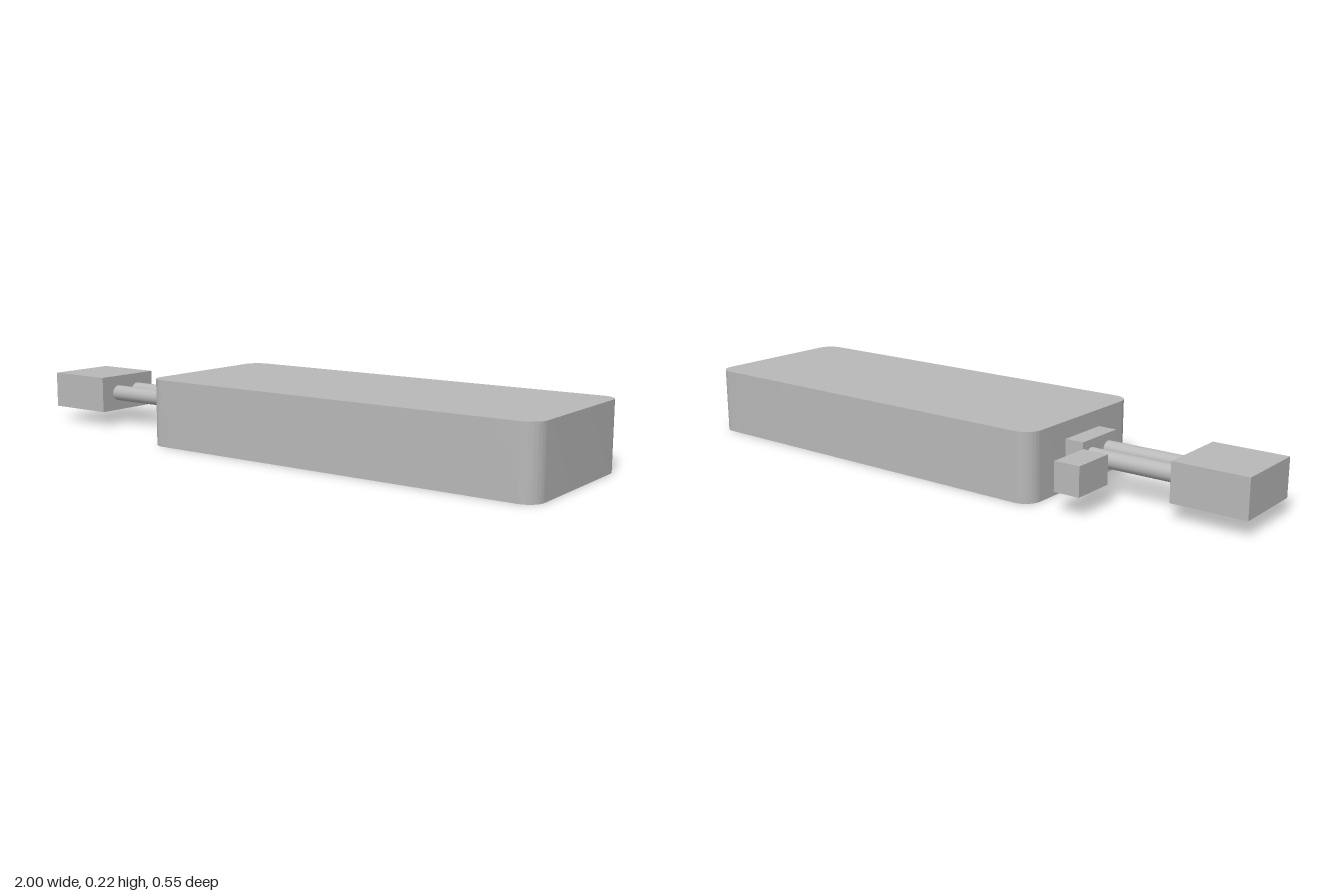
import * as THREE from 'three';
import { toCreasedNormals } from 'three/addons/utils/BufferGeometryUtils.js';

export function createModel() {
  const group = new THREE.Group();
  const grey = new THREE.MeshStandardMaterial({ color: 0xb8b8b8 });
  grey.name = 'grey';

  const add = (name, geometry, x, y, z) => {
    const mesh = new THREE.Mesh(geometry, grey);
    mesh.name = name;
    mesh.position.set(x, y, z);
    group.add(mesh);
    return mesh;
  };
  // box given by its minimum and maximum corners
  const addBox = (name, [x0, y0, z0], [x1, y1, z1]) =>
    add(name, new THREE.BoxGeometry(x1 - x0, y1 - y0, z1 - z0),
      (x0 + x1) / 2, (y0 + y1) / 2, (z0 + z1) / 2);

  const midZ = 0.002; // centre line of the main assembly

  // main body: slab with rounded upright corners
  const hx = 0.69, hz = 0.275, r = 0.055, height = 0.22;
  const outline = new THREE.Shape();
  outline.absarc(hx - r, hz - r, r, 0, Math.PI / 2);
  outline.absarc(-hx + r, hz - r, r, Math.PI / 2, Math.PI);
  outline.absarc(-hx + r, -hz + r, r, Math.PI, Math.PI * 1.5);
  outline.absarc(hx - r, -hz + r, r, Math.PI * 1.5, Math.PI * 2);
  outline.closePath();
  const slab = new THREE.ExtrudeGeometry(outline, { depth: height, bevelEnabled: false, curveSegments: 12 });
  slab.rotateX(-Math.PI / 2);
  add('body', toCreasedNormals(slab, 0.6), 0.31, 0, midZ);

  // collar on the body's end and block at the far end
  addBox('collar', [-0.443, 0.055, midZ - 0.092], [-0.375, 0.165, midZ + 0.092]);
  addBox('endBlock', [-1, 0.051, midZ - 0.124], [-0.758, 0.175, midZ + 0.124]);

  // twin rods joining the block to the collar
  for (const side of [-1, 1]) {
    const rod = new THREE.CylinderGeometry(0.027, 0.027, 0.33, 32);
    rod.rotateZ(Math.PI / 2);
    add(side < 0 ? 'backRod' : 'frontRod', rod, -0.6, 0.113, midZ + side * 0.047);
  }

  // separate small block beside the rods
  addBox('sideBlock', [-0.555, 0.065, -0.277], [-0.469, 0.158, -0.128]);

  return group;
}
